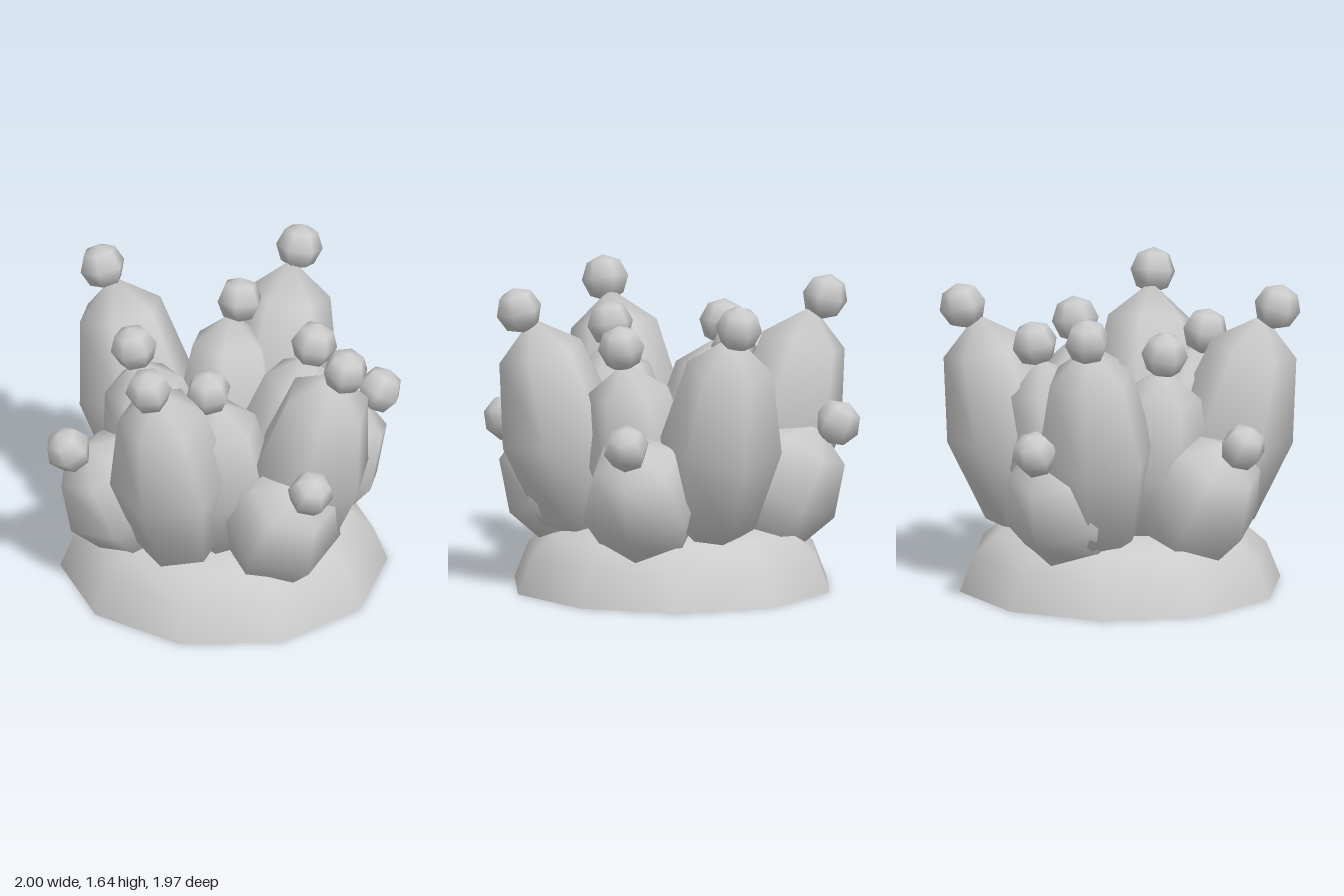
import * as THREE from 'three';

export function createModel() {
  const model = new THREE.Group();
  const grey = new THREE.MeshStandardMaterial({ color: 0xcccccc });
  grey.name = 'light grey';

  // Ten-sided domed base with a flat underside
  const profile = [[0.87, 0], [0.795, 0.19], [0.66, 0.31], [0.47, 0.36], [0.22, 0.375], [0, 0.38]]
    .map(([r, y]) => new THREE.Vector2(r, y));
  const base = new THREE.Mesh(new THREE.LatheGeometry(profile, 10), grey);
  base.name = 'base';
  const underside = new THREE.Mesh(new THREE.CircleGeometry(0.87, 10, Math.PI / 2), grey);
  underside.rotation.x = Math.PI / 2;
  underside.name = 'baseUnderside';
  model.add(base, underside);

  const lobeGeometry = new THREE.SphereGeometry(1, 6, 4);
  const ballGeometry = new THREE.SphereGeometry(0.125, 6, 4);

  // A six-sided egg-shaped lobe leaning outward, with a small ball near its tip
  function addLobe(parent, { name, centre, lean, radius, length, ball }) {
    const yaw = Math.atan2(-ball[2], ball[0]);

    const lobe = new THREE.Mesh(lobeGeometry, grey);
    lobe.name = name + 'Lobe';
    lobe.position.set(...centre);
    lobe.rotation.set(0, yaw, -lean, 'YZX');
    lobe.scale.set(radius, length, radius);

    const tip = new THREE.Mesh(ballGeometry, grey);
    tip.name = name + 'Ball';
    tip.position.set(...ball);
    tip.rotation.set(0, yaw, -lean, 'YZX');
    parent.add(lobe, tip);
  }

  const tall = { lean: 0.25, radius: 0.325, length: 0.64 };
  const middle = { lean: 0.2, radius: 0.3, length: 0.54 };
  const low = { lean: 0.53, radius: 0.33, length: 0.39 };
  const lobes = [
    { name: 'tallInner', ...tall, centre: [0.3, 0.85, 0.53], ball: [0.42, 1.515, 0.725] },
    { name: 'tallOuter', ...tall, centre: [-0.45, 0.85, 0.4], ball: [-0.63, 1.515, 0.55] },
    { name: 'middleFront', ...middle, centre: [-0.14, 0.74, 0.32], ball: [-0.24, 1.345, 0.41] },
    { name: 'middleSide', ...middle, centre: [0.335, 0.74, 0.1], ball: [0.455, 1.345, 0.15] },
    { name: 'lowFront', ...low, centre: [0.11, 0.54, 0.57], ball: [0.17, 0.885, 0.865] },
    { name: 'lowSide', ...low, centre: [0.58, 0.54, 0], ball: [0.88, 0.885, 0] },
  ];

  // The cluster repeats after half a turn
  for (const [name, angle] of [['frontCluster', 0], ['backCluster', Math.PI]]) {
    const cluster = new THREE.Group();
    cluster.name = name;
    cluster.rotation.y = angle;
    lobes.forEach((l) => addLobe(cluster, l));
    model.add(cluster);
  }
  return model;
}
